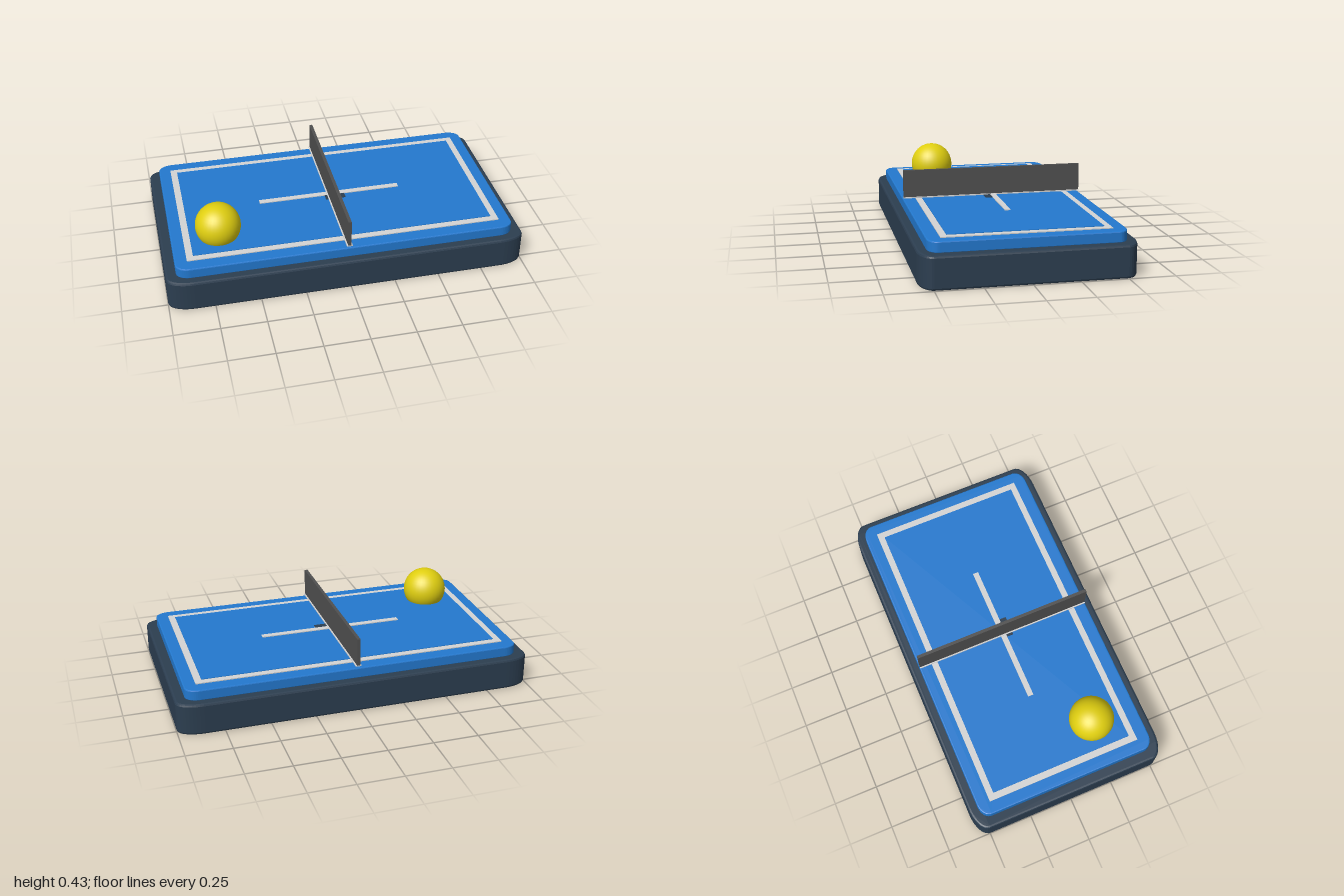
import * as THREE from 'three';

const mat = (name, color) => new THREE.MeshStandardMaterial({ name, color });

// Rectangle with elliptical corners (half sizes w, d; corner radii rx, rz)
function roundedRect(w, d, rx, rz) {
  const s = new THREE.Shape();
  s.moveTo(w, -d + rz);
  s.lineTo(w, d - rz);
  s.absellipse(w - rx, d - rz, rx, rz, 0, Math.PI / 2);
  s.absellipse(-w + rx, d - rz, rx, rz, Math.PI / 2, Math.PI);
  s.absellipse(-w + rx, -d + rz, rx, rz, Math.PI, Math.PI * 1.5);
  s.absellipse(w - rx, -d + rz, rx, rz, Math.PI * 1.5, Math.PI * 2);
  return s;
}

// Bevelled slab lying flat between heights y0 and y1
function slab(w, d, rx, rz, y0, y1, bevel) {
  const g = new THREE.ExtrudeGeometry(roundedRect(w - bevel, d - bevel, rx, rz), {
    depth: y1 - y0 - 2 * bevel, bevelEnabled: true, bevelThickness: bevel,
    bevelSize: bevel, bevelSegments: 2, curveSegments: 5,
  });
  g.rotateX(-Math.PI / 2);
  g.translate(0, y0 + bevel, 0);
  return g;
}

export function createModel() {
  const group = new THREE.Group();
  const navy = mat('navy', 0x2c3e50);
  const blue = mat('blue', 0x2379cf);
  const white = mat('offWhite', 0xd4d4d4);
  const grey = mat('netGrey', 0x505050);
  const yellow = mat('yellow', 0xe0cf10);

  const add = (name, geometry, material) => {
    const m = new THREE.Mesh(geometry, material);
    m.name = name;
    group.add(m);
    return m;
  };
  // Box given by its limits on each axis
  const box = (name, material, x0, x1, y0, y1, z0, z1) => {
    const m = add(name, new THREE.BoxGeometry(x1 - x0, y1 - y0, z1 - z0), material);
    m.position.set((x0 + x1) / 2, (y0 + y1) / 2, (z0 + z1) / 2);
  };

  // Base and table top
  add('base', slab(1, 0.57, 0.13, 0.06, 0, 0.178, 0.012), navy);
  add('tableTop', slab(0.943, 0.52, 0.07, 0.05, 0.174, 0.235, 0.006), blue);

  // Border line around a slightly raised court
  box('borderLine', white, -0.877, 0.877, 0.232, 0.24, -0.448, 0.448);
  box('court', blue, -0.84, 0.84, 0.234, 0.243, -0.412, 0.412);

  // Centre markings
  box('centreLine', white, -0.41, 0.41, 0.24, 0.248, -0.016, 0.016);
  box('netLine', white, -0.016, 0.016, 0.244, 0.25, -0.518, 0.518);
  box('centrePlate', navy, -0.03, 0.085, 0.24, 0.2465, 0.016, 0.055);

  // Net
  box('net', grey, -0.009, 0.009, 0.249, 0.405, -0.518, 0.518);

  // Ball, resting partly in the court
  add('ball', new THREE.SphereGeometry(0.126, 32, 24), yellow).position.set(-0.68, 0.307, 0.25);

  return group;
}
